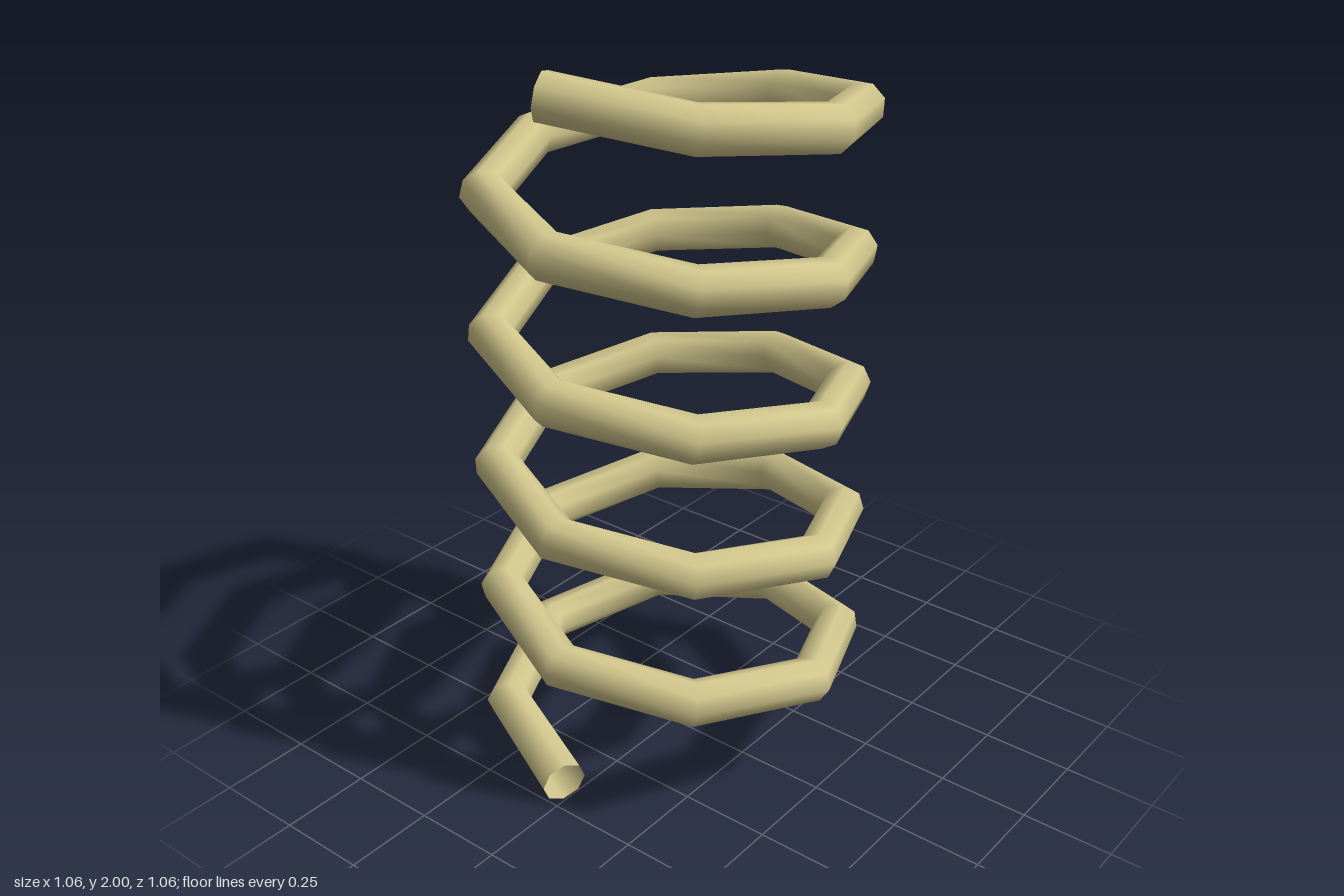
import * as THREE from 'three';

const TURNS = 5, SIDES = 8, STEPS = TURNS * SIDES;
const COIL_RADIUS = 0.468, WIRE_RADIUS = 0.061, Y0 = 0.06, Y1 = 1.94;

// Corner i of the eight-sided helix, starting at the front
function corner(i) {
  const a = (i / SIDES) * Math.PI * 2;
  return new THREE.Vector3(
    -Math.sin(a) * COIL_RADIUS,
    Y0 + ((Y1 - Y0) * i) / STEPS,
    Math.cos(a) * COIL_RADIUS
  );
}

// Straight runs between corners; tangents bisect each corner
class FacetedHelix extends THREE.Curve {
  getPoint(t, target = new THREE.Vector3()) {
    const i = Math.min(Math.floor(t * STEPS + 1e-9), STEPS - 1);
    return target.copy(corner(i)).lerp(corner(i + 1), t * STEPS - i);
  }
  getTangent(t, target = new THREE.Vector3()) {
    const i = Math.round(t * STEPS);
    return target
      .copy(corner(Math.min(i + 1, STEPS)))
      .sub(corner(Math.max(i - 1, 0)))
      .normalize();
  }
}

export function createModel() {
  const group = new THREE.Group();
  group.name = 'spring';

  // Hollow wire, open at both ends
  const coil = new THREE.Mesh(
    new THREE.TubeGeometry(new FacetedHelix(), STEPS, WIRE_RADIUS, 8, false),
    new THREE.MeshStandardMaterial({ color: 0xd1c68c, side: THREE.DoubleSide })
  );
  coil.name = 'coil';
  group.add(coil);
  return group;
}
